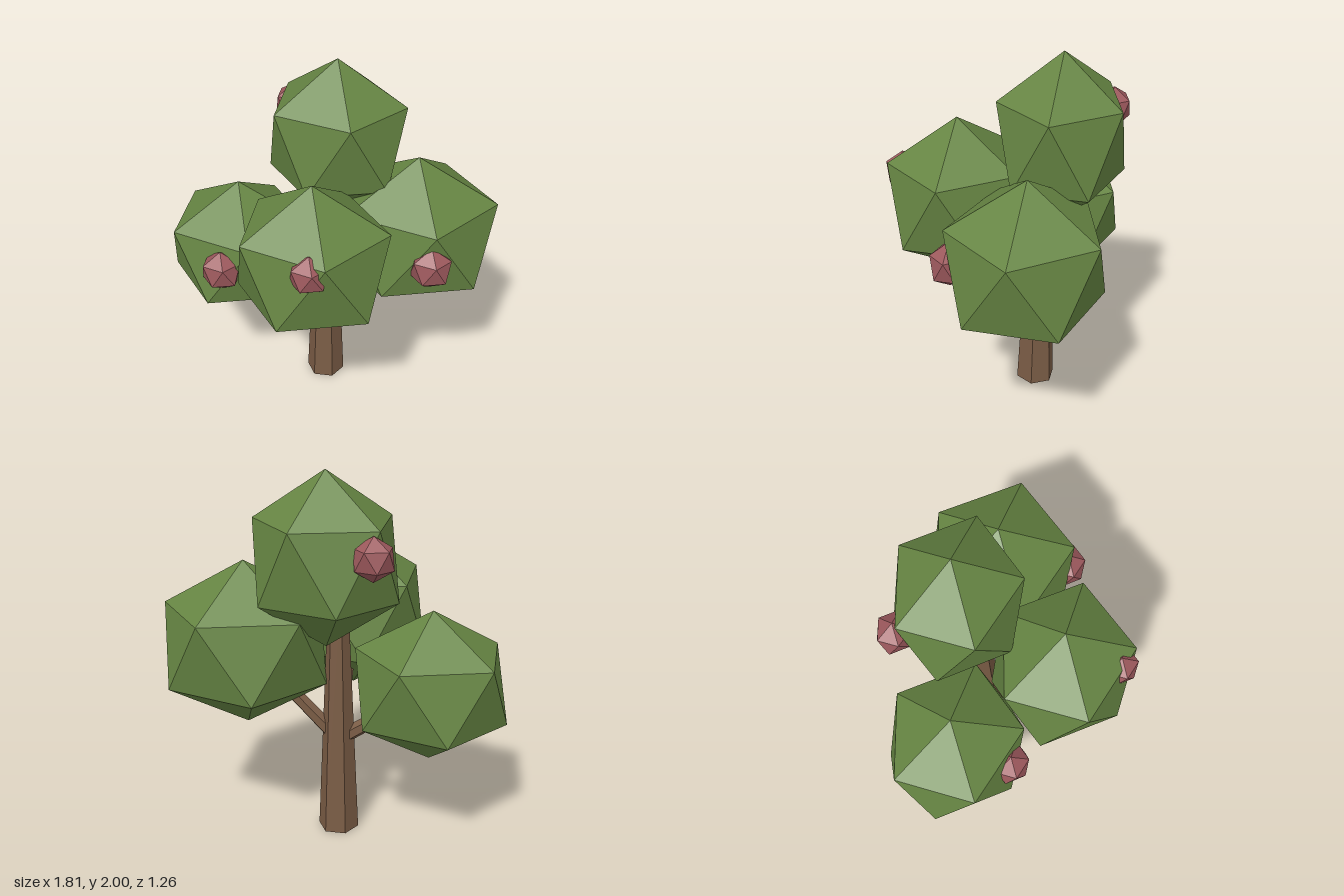
import * as THREE from 'three';

const mat = (color) => new THREE.MeshStandardMaterial({ color, flatShading: true });

export function createModel() {
  const tree = new THREE.Group();
  tree.name = 'tree';
  const bark = mat(0x7a5c45);
  const leaf = mat(0x668543);
  const skin = mat(0x9c585c);

  // Unit icosahedron standing on a corner, upper ring pointing to +x
  const ball = new THREE.IcosahedronGeometry(1, 0);
  ball.rotateZ(-Math.atan(2 / (1 + Math.sqrt(5))));

  const addBall = (name, material, position, scale, spin = 0) => {
    const mesh = new THREE.Mesh(ball, material);
    mesh.name = name;
    mesh.position.set(...position);
    mesh.scale.set(...scale);
    mesh.rotation.y = spin;
    tree.add(mesh);
  };

  // Six-sided tapered limb between two points
  const addLimb = (name, from, to, r0, r1) => {
    const a = new THREE.Vector3(...from);
    const dir = new THREE.Vector3(...to).sub(a);
    const length = dir.length();
    const geometry = new THREE.CylinderGeometry(r1, r0, length, 6);
    geometry.rotateY(Math.PI / 6);
    geometry.translate(0, length / 2, 0);
    const mesh = new THREE.Mesh(geometry, bark);
    mesh.name = name;
    mesh.position.copy(a);
    mesh.quaternion.setFromUnitVectors(new THREE.Vector3(0, 1, 0), dir.normalize());
    tree.add(mesh);
  };

  // Trunk and branches
  addLimb('trunk', [-0.02, 0, -0.2], [-0.02, 1.4, -0.21], 0.11, 0.05);
  addLimb('leftBranch', [0, 0.55, -0.2], [0.36, 0.93, -0.22], 0.043, 0.035);
  addLimb('rightBranch', [-0.04, 0.54, -0.2], [-0.42, 0.79, -0.2], 0.043, 0.035);
  addLimb('frontBranch', [-0.02, 0.56, -0.17], [-0.02, 0.96, 0.12], 0.043, 0.035);

  // Leaf clusters
  addBall('topFoliage', leaf, [0.02, 1.55, -0.32], [0.414, 0.45, 0.37]);
  addBall('frontFoliage', leaf, [-0.02, 1.135, 0.245], [0.447, 0.45, 0.415]);
  addBall('leftFoliage', leaf, [0.47, 1.06, -0.24], [0.486, 0.45, 0.45]);
  addBall('rightFoliage', leaf, [-0.51, 0.873, -0.205], [0.447, 0.4125, 0.412]);

  // Fruits
  addBall('frontFruit', skin, [0.015, 1.267, 0.54], [0.108, 0.108, 0.1]);
  addBall('leftFruit', skin, [0.583, 1.065, 0.12], [0.118, 0.123, 0.105]);
  addBall('rightFruit', skin, [-0.547, 0.912, 0.12], [0.118, 0.122, 0.105]);
  addBall('backFruit', skin, [-0.253, 1.625, -0.54], [0.112, 0.112, 0.1]);

  return tree;
}
